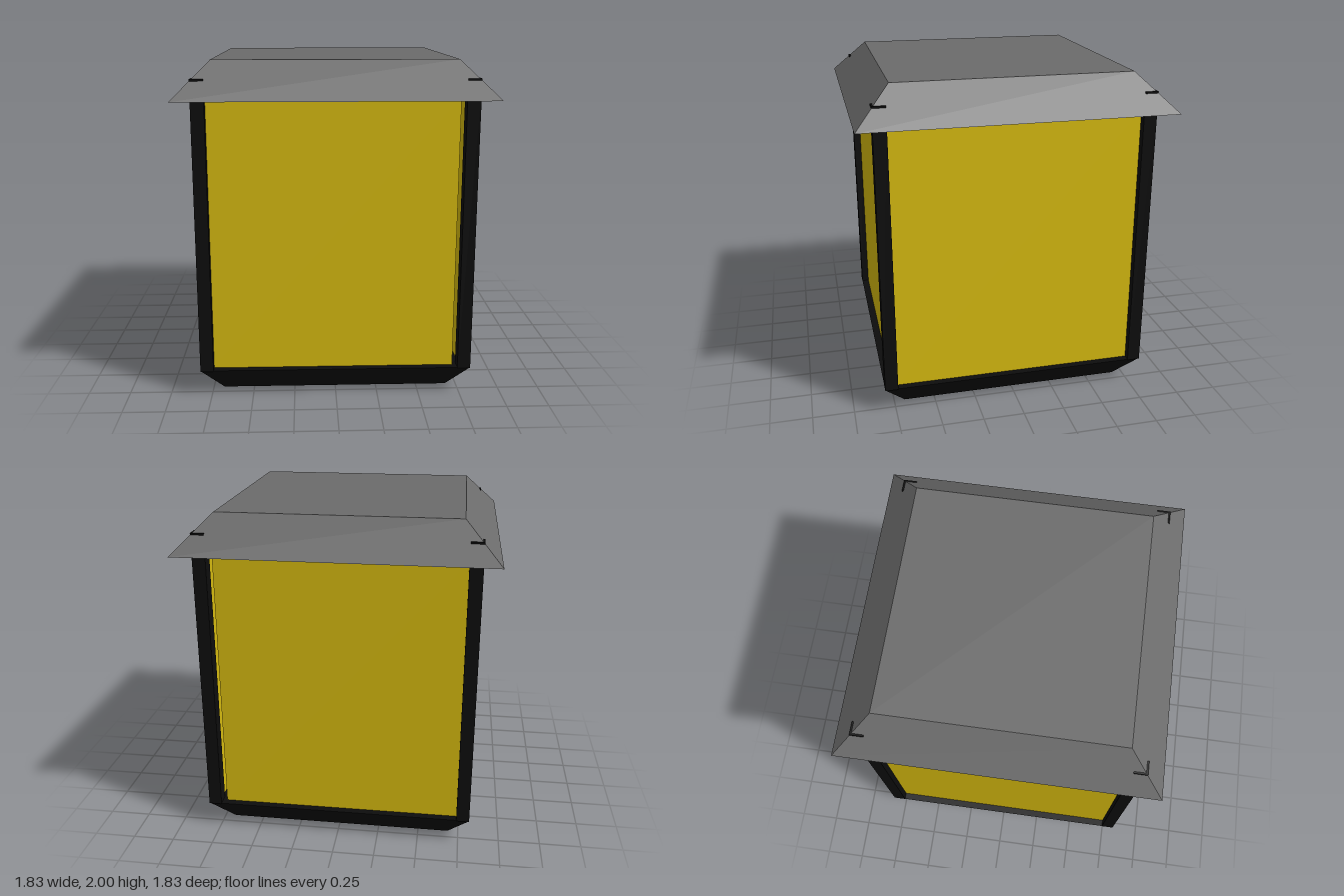
import * as THREE from 'three';

const mat = (name, color) => {
  const m = new THREE.MeshStandardMaterial({ color });
  m.name = name;
  return m;
};

// Square frustum given by half-widths at the top and bottom
function frustum(topHalf, bottomHalf, y0, y1) {
  const g = new THREE.CylinderGeometry(topHalf * Math.SQRT2, bottomHalf * Math.SQRT2, y1 - y0, 4);
  g.rotateY(Math.PI / 4);
  g.translate(0, (y0 + y1) / 2, 0);
  const flat = g.toNonIndexed();
  flat.computeVertexNormals();
  return flat;
}

export function createModel() {
  const black = mat('blackMetal', 0x0d0d0d);
  const grey = mat('greyRoof', 0x6b6b6b);
  const yellow = mat('yellowGlass', 0xd8bc10);

  const model = new THREE.Group();
  model.name = 'lantern';
  const add = (name, geometry, material, x = 0, y = 0, z = 0) => {
    const mesh = new THREE.Mesh(geometry, material);
    mesh.name = name;
    mesh.position.set(x, y, z);
    model.add(mesh);
    return mesh;
  };

  // Tapered base and overhanging roof
  add('base', frustum(0.813, 0.685, 0, 0.165), black);
  add('roof', frustum(0.705, 0.915, 1.785, 2), grey);

  // Corner posts, whose tips just break through the roof slopes
  const postGeometry = new THREE.BoxGeometry(0.078, 1.74, 0.078);
  for (const sx of [-1, 1]) {
    for (const sz of [-1, 1]) {
      add('cornerPost', postGeometry, black, sx * 0.774, 1.03, sz * 0.774);
    }
  }

  // Glass panes; front and back leave a narrow gap on the +x side
  const paneHeight = 1.63;
  const paneY = 0.16 + paneHeight / 2;
  const facePane = new THREE.BoxGeometry(1.46, paneHeight, 0.02);
  const sidePane = new THREE.BoxGeometry(0.02, paneHeight, 1.48);
  for (const s of [-1, 1]) {
    add(s > 0 ? 'frontPane' : 'backPane', facePane, yellow, -0.02, paneY, s * 0.758);
    add(s > 0 ? 'leftPane' : 'rightPane', sidePane, yellow, s * 0.76, paneY, 0);
  }
  return model;
}
